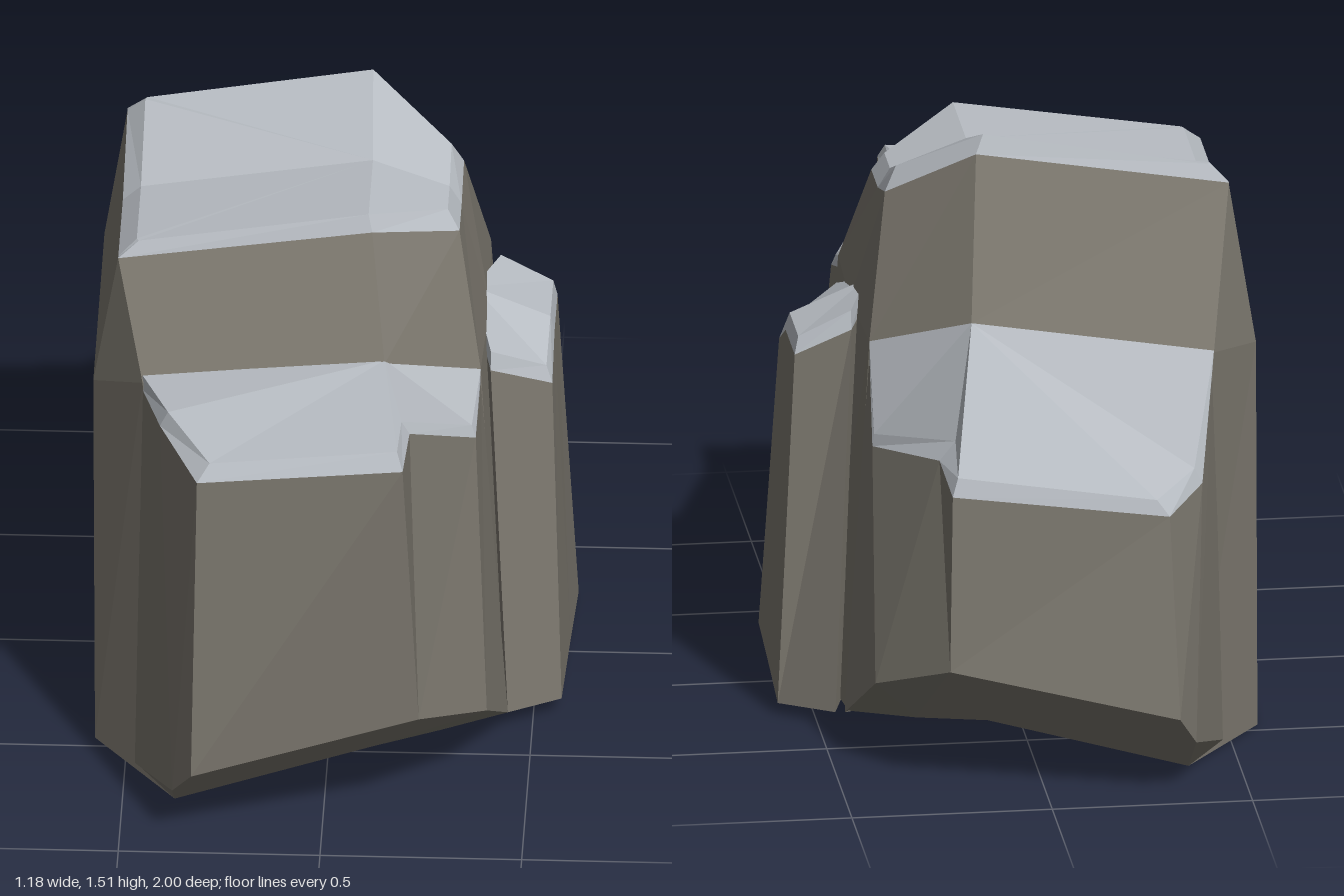
import * as THREE from 'three';

const stone = new THREE.MeshStandardMaterial({ color: 0x78746b });
stone.name = 'stone';
const paleStone = new THREE.MeshStandardMaterial({ color: 0xb6bbc1 });
paleStone.name = 'pale stone';

// Joins stacked rings (counter-clockwise from above) into faceted faces
function loft(name, material, rings, { top, bottom } = {}) {
  const pos = [];
  const tri = (a, b, c) => {
    const [p, q, r] = [a, b, c].map((v) => new THREE.Vector3(...v));
    if (q.clone().sub(p).cross(r.clone().sub(p)).length() > 1e-6) pos.push(...a, ...b, ...c);
  };
  const n = rings[0].length;
  for (let i = 0; i < n; i++) {
    const j = (i + 1) % n;
    for (let k = 0; k + 1 < rings.length; k++) {
      const lo = rings[k], hi = rings[k + 1];
      tri(lo[i], lo[j], hi[j]);
      tri(lo[i], hi[j], hi[i]);
    }
    const last = rings[rings.length - 1];
    if (top) tri(top, last[i], last[j]);
    if (bottom) tri(bottom, rings[0][j], rings[0][i]);
  }
  const geo = new THREE.BufferGeometry();
  geo.setAttribute('position', new THREE.Float32BufferAttribute(pos, 3));
  geo.computeVertexNormals();
  const mesh = new THREE.Mesh(geo, material);
  mesh.name = name;
  return mesh;
}

// A rock body with a bevelled pale cap; the last body ring is the cap's lower edge
function rock(name, body, capRing, top, bottom) {
  const g = new THREE.Group();
  g.name = name;
  g.add(loft(name + 'Body', stone, body, { bottom }));
  g.add(loft(name + 'Cap', paleStone, [body[body.length - 1], capRing], { top }));
  return g;
}

// Mirrors a ring front to back, keeping its winding
const flipZ = (ring) => ring.map(([x, y, z]) => [x, y, -z]).reverse();

export function createModel() {
  const model = new THREE.Group();
  model.name = 'rockFormation';

  // Central peak
  const peakFoot = [
    [-0.58, 0, 0.46], [-0.37, 0.01, 0.76], [0.12, 0.12, 0.67], [0.43, 0.05, 0.37], [0.46, 0.04, 0],
    [0.43, 0.05, -0.37], [0.12, 0.12, -0.67], [-0.37, 0.01, -0.76], [-0.58, 0, -0.46], [-0.58, 0, 0],
  ];
  const peakShoulder = [
    [-0.59, 0.95, 0.32], [-0.46, 1.06, 0.51], [0.14, 1.13, 0.51], [0.37, 1, 0.31], [0.38, 1, 0],
    [0.37, 1, -0.31], [0.14, 1.11, -0.51], [-0.46, 1.02, -0.55], [-0.59, 0.97, -0.35], [-0.59, 0.96, 0],
  ];
  const peakRim = [
    [-0.53, 1.28, 0.27], [-0.53, 1.28, 0.28], [0.1, 1.37, 0.28], [0.31, 1.29, 0.13], [0.31, 1.29, 0],
    [0.31, 1.33, -0.14], [0.1, 1.47, -0.28], [-0.53, 1.37, -0.29], [-0.53, 1.37, -0.28], [-0.53, 1.28, 0],
  ];
  const peakTop = [
    [-0.485, 1.32, 0.25], [-0.48, 1.32, 0.26], [0.09, 1.41, 0.26], [0.28, 1.34, 0.11], [0.28, 1.34, 0],
    [0.28, 1.39, -0.12], [0.08, 1.515, -0.26], [-0.48, 1.415, -0.27], [-0.485, 1.415, -0.26], [-0.485, 1.32, 0],
  ];
  model.add(rock('peak', [peakFoot, peakShoulder, peakRim], peakTop, [0.09, 1.41, 0], [0.12, 0.04, 0]));

  // Undercut base shared by the front and back shoulders
  const foot = [
    [-0.47, 0.01, 0.6], [-0.37, 0.01, 0.76], [-0.37, 0.01, 0.76], [0.12, 0.12, 0.67],
    [0.12, 0.12, 0.67], [0.28, 0.08, 0.52], [0.43, 0.05, 0.37], [0.1, 0.1, 0.4],
  ];
  const base = [
    [-0.475, 0.02, 0.61], [-0.37, 0.13, 0.92], [-0.32, 0.22, 1], [0.24, 0.33, 0.885],
    [0.24, 0.33, 0.885], [0.4, 0.23, 0.67], [0.44, 0.05, 0.38], [0.1, 0.12, 0.4],
  ];
  const under = [0.1, 0.1, 0.45];

  // Front shoulder
  const frontRim = [
    [-0.46, 1.04, 0.51], [-0.41, 1.04, 0.68], [-0.31, 1, 0.885], [0.2, 1.045, 0.885],
    [0.21, 1.05, 0.71], [0.365, 0.91, 0.49], [0.37, 0.97, 0.31], [0.14, 1.1, 0.49],
  ];
  const frontTop = [
    [-0.46, 1.075, 0.5], [-0.39, 1.08, 0.68], [-0.28, 1.04, 0.855], [0.185, 1.085, 0.855],
    [0.19, 1.085, 0.71], [0.355, 0.94, 0.48], [0.37, 1, 0.31], [0.14, 1.135, 0.5],
  ];
  model.add(rock('frontShoulder', [foot, base, frontRim], frontTop, frontTop[7], under));

  // Back shoulder, lower and more sloped
  const backRim = [
    [-0.46, 1, 0.54], [-0.41, 0.74, 0.72], [-0.31, 0.71, 0.87], [0.225, 0.765, 0.815],
    [0.24, 0.81, 0.67], [0.375, 0.76, 0.41], [0.37, 0.97, 0.31], [0.14, 1.08, 0.5],
  ];
  const backTop = [
    [-0.46, 1.025, 0.55], [-0.39, 0.78, 0.72], [-0.28, 0.75, 0.855], [0.21, 0.81, 0.8],
    [0.2, 0.86, 0.67], [0.37, 0.79, 0.405], [0.37, 1, 0.31], [0.14, 1.11, 0.51],
  ];
  model.add(rock('backShoulder', [foot, base, backRim].map(flipZ), flipZ(backTop),
    flipZ(backTop)[0], [under[0], under[1], -under[2]]));

  // Narrow side buttress
  const sideFoot = [
    [0.44, 0.05, 0.38], [0.57, 0.045, 0.3], [0.58, 0.035, 0], [0.59, 0.03, -0.24],
    [0.46, 0.04, -0.35], [0.36, 0.04, 0],
  ];
  const sideRim = [
    [0.39, 0.93, 0.2], [0.54, 0.855, 0.13], [0.54, 0.925, 0], [0.54, 0.925, -0.18],
    [0.4, 0.99, -0.195], [0.34, 0.99, 0],
  ];
  const sideTop = [
    [0.39, 0.975, 0.185], [0.525, 0.9, 0.12], [0.53, 0.97, 0], [0.53, 0.97, -0.17],
    [0.4, 1.035, -0.18], [0.34, 1.05, 0],
  ];
  model.add(rock('sideButtress', [sideFoot, sideRim], sideTop, sideTop[5], [0.5, 0.04, 0]));

  return model;
}
